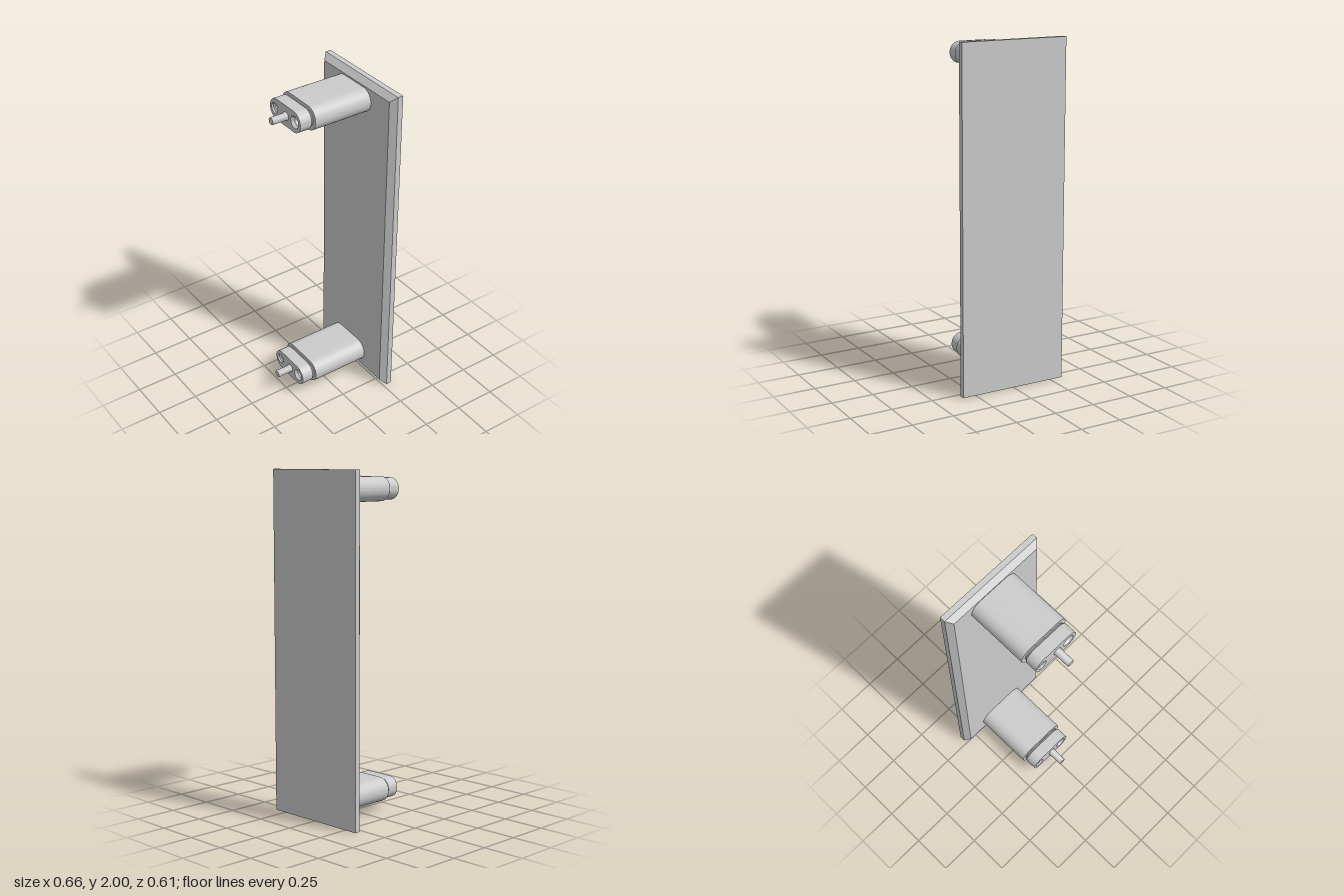
import * as THREE from 'three';
import { toCreasedNormals } from 'three/addons/utils/BufferGeometryUtils.js';

const grey = new THREE.MeshStandardMaterial({ color: 0xcccccc });
const greyDouble = new THREE.MeshStandardMaterial({ color: 0xcccccc, side: THREE.DoubleSide });

function addMesh(parent, name, geometry, material = grey) {
  const mesh = new THREE.Mesh(geometry, material);
  mesh.name = name;
  parent.add(mesh);
  return mesh;
}

// Slot outline: a straight run with a half circle at each end
function slotShape(width, height) {
  const r = height / 2, s = width / 2 - r;
  const shape = new THREE.Shape();
  shape.moveTo(-s, -r);
  shape.lineTo(s, -r);
  shape.absarc(s, 0, r, -Math.PI / 2, Math.PI / 2, false);
  shape.lineTo(-s, r);
  shape.absarc(-s, 0, r, Math.PI / 2, Math.PI * 1.5, false);
  return shape;
}

function extrude(shape, z0, z1, bevel = 0) {
  const geometry = new THREE.ExtrudeGeometry(shape, {
    depth: z1 - z0 - 2 * bevel, curveSegments: 20, bevelEnabled: bevel > 0,
    bevelThickness: bevel, bevelSize: bevel, bevelOffset: -bevel, bevelSegments: 1,
  });
  geometry.translate(0, 0, z0 + bevel);
  return toCreasedNormals(geometry, 0.5);
}

// Lathe turned around the z axis; profile points are [radius, z]
function turned(profile) {
  const points = profile.map(([r, z]) => new THREE.Vector2(r, z));
  const geometry = new THREE.LatheGeometry(points, 28);
  geometry.rotateX(Math.PI / 2);
  // the turn sends lathe height to +z
  return toCreasedNormals(geometry, 0.6);
}

// Back plate with its front edges chamfered
function createPlate() {
  const group = new THREE.Group();
  group.name = 'backPlate';
  const slab = new THREE.BoxGeometry(0.66, 2, 0.033);
  slab.translate(0, 1, -0.2905);
  addMesh(group, 'plateSlab', slab);

  const chamfer = new THREE.BoxGeometry(0.66, 2, 0.033);
  const p = chamfer.attributes.position;
  for (let i = 0; i < p.count; i++) {
    if (p.getZ(i) > 0) {
      p.setX(i, Math.sign(p.getX(i)) * 0.298);
      p.setY(i, Math.sign(p.getY(i)) * 0.968);
    }
  }
  chamfer.translate(0, 1, -0.2575);
  addMesh(group, 'plateChamfer', toCreasedNormals(chamfer, 0.3));
  return group;
}

// Standoff: slot-shaped arm, grooved neck, socketed cap and pin
function createStandoff(name, y) {
  const group = new THREE.Group();
  group.name = name;
  group.position.set(-0.02, y, 0);

  addMesh(group, 'arm', extrude(slotShape(0.318, 0.142), -0.245, 0.122));
  addMesh(group, 'neck', extrude(slotShape(0.27, 0.102), 0.118, 0.135));
  addMesh(group, 'capBack', extrude(slotShape(0.29, 0.126), 0.128, 0.165, 0.01));

  const sockets = [
    { x: -0.1, r: 0.03, inner: 0.016 },
    { x: 0.09, r: 0.036, inner: 0.024 },
  ];
  const face = slotShape(0.29, 0.126);
  for (const { x, r } of sockets) {
    const hole = new THREE.Path();
    hole.absarc(x, 0, r, 0, Math.PI * 2, true);
    face.holes.push(hole);
  }
  addMesh(group, 'capFront', extrude(face, 0.14, 0.21));

  // Dished recesses lining the two holes
  for (const { x, r, inner } of sockets) {
    const dish = turned([
      [0, 0.17], [inner * 0.9, 0.172], [inner, 0.178],
      [inner, 0.192], [r * 0.9, 0.2], [r, 0.21],
    ]);
    addMesh(group, 'socket', dish, greyDouble).position.x = x;
  }

  // Pin with a small foot fillet
  const pin = turned([
    [0.026, 0.205], [0.025, 0.212], [0.022, 0.217],
    [0.022, 0.302], [0.02, 0.306], [0, 0.306],
  ]);
  addMesh(group, 'pin', pin, greyDouble).position.x = 0.009;
  return group;
}

export function createModel() {
  const model = new THREE.Group();
  model.name = 'wallHandle';
  model.add(createPlate());
  model.add(createStandoff('upperStandoff', 1.888));
  model.add(createStandoff('lowerStandoff', 0.13));
  return model;
}
